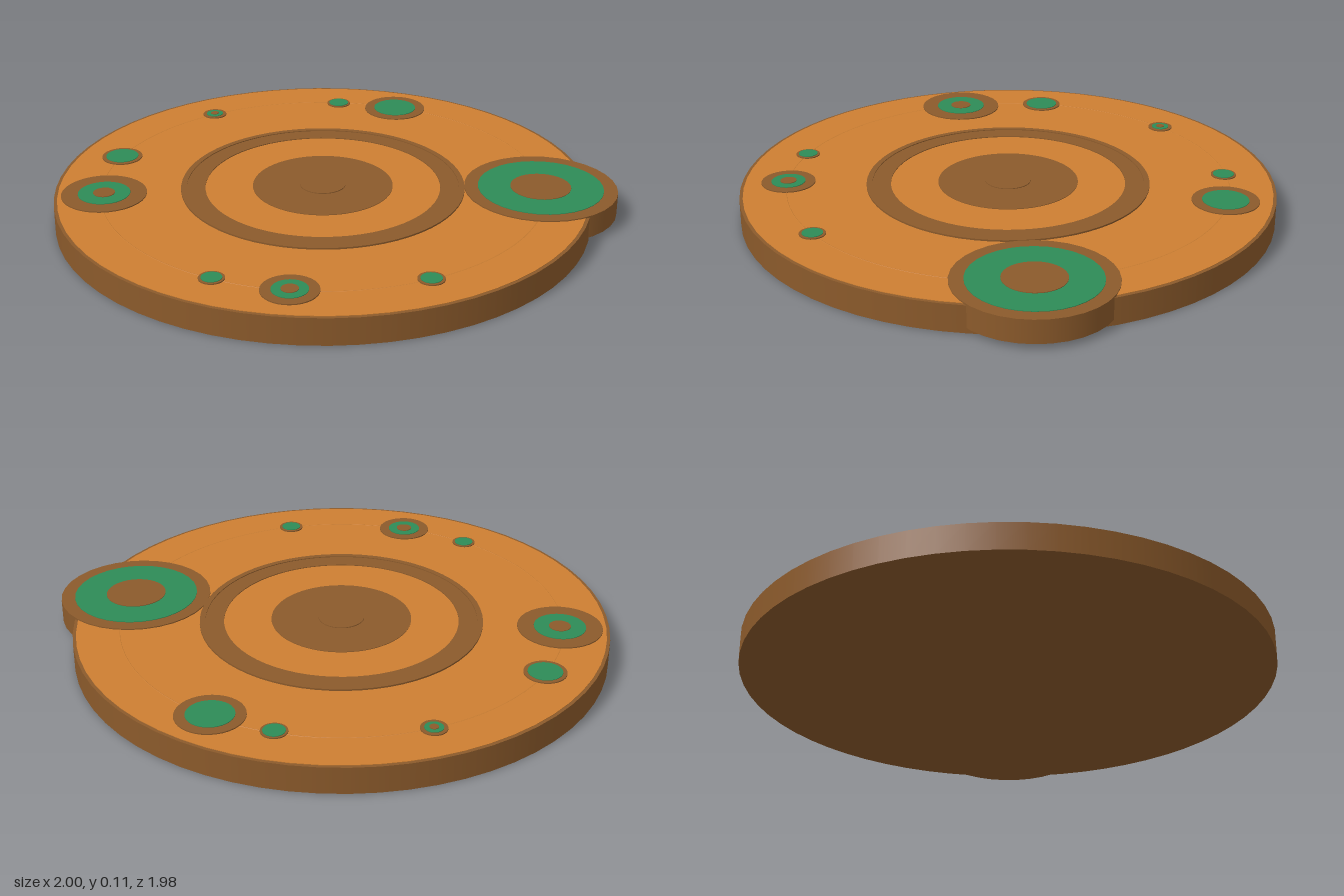
import * as THREE from 'three';

const material = (color) => new THREE.MeshStandardMaterial({ color });

export function createModel() {
  const brown = material(0x8b5a2b);
  const orange = material(0xcd7f32);
  const green = material(0x2e8b57);

  const model = new THREE.Group();
  model.name = 'medallion';

  const disc = (parent, name, mat, radius, bottom, top, segments = 64) => {
    const mesh = new THREE.Mesh(new THREE.CylinderGeometry(radius, radius, top - bottom, segments), mat);
    mesh.position.y = (bottom + top) / 2;
    mesh.name = name;
    parent.add(mesh);
  };

  // Flat-topped ring with square edges
  const band = (parent, name, mat, inner, outer, bottom, top) => {
    const profile = [[inner, bottom], [outer, bottom], [outer, top], [inner, top], [inner, bottom]];
    // Each side is its own lathe so the edges stay sharp
    const group = new THREE.Group();
    group.name = name;
    for (let i = 0; i < 4; i++) {
      const points = [profile[i], profile[i + 1]].map(([x, y]) => new THREE.Vector2(x, y));
      const side = new THREE.Mesh(new THREE.LatheGeometry(points, 64), mat);
      side.name = name + 'Side';
      group.add(side);
    }
    parent.add(group);
  };

  // Main plate with its coloured face and central rings
  const plate = new THREE.Group();
  plate.name = 'plate';
  plate.position.x = -0.01;
  model.add(plate);
  disc(plate, 'base', brown, 0.99, 0, 0.1);
  disc(plate, 'face', orange, 0.978, 0.09, 0.102);
  band(plate, 'outerRing', brown, 0.505, 0.526, 0.095, 0.108);
  band(plate, 'innerRing', brown, 0.436, 0.505, 0.095, 0.105);
  disc(plate, 'hub', brown, 0.26, 0.095, 0.104);
  disc(plate, 'hubButton', brown, 0.085, 0.095, 0.107, 32);

  // Fine circular track linking the studs
  const track = new THREE.Mesh(new THREE.TorusGeometry(0.82, 0.003, 6, 96), orange);
  track.name = 'track';
  track.rotation.x = Math.PI / 2;
  track.position.y = 0.1;
  plate.add(track);

  // Studs: x, z, body radius, inlay radius, centre radius
  const studs = [
    [-0.14, -0.81, 0.047, 0.033, 0.016],
    [0.377, -0.713, 0.047, 0.039, 0],
    [0.567, -0.567, 0.123, 0.085, 0],
    [-0.617, -0.548, 0.077, 0.062, 0],
    [-0.778, -0.25, 0.157, 0.096, 0.04],
    [0.715, 0.355, 0.283, 0.232, 0.112],
    [-0.64, 0.52, 0.045, 0.036, 0],
    [-0.435, 0.698, 0.1, 0.063, 0.03],
    [0.02, 0.818, 0.047, 0.037, 0],
  ];
  for (const [x, z, body, inlay, centre] of studs) {
    const stud = new THREE.Group();
    stud.name = 'stud';
    stud.position.set(x, 0, z);
    disc(stud, 'studBody', brown, body, 0.02, 0.106, 32);
    disc(stud, 'studInlay', green, inlay, 0.09, 0.108, 32);
    if (centre) disc(stud, 'studCentre', brown, centre, 0.09, 0.11, 32);
    model.add(stud);
  }
  return model;
}
